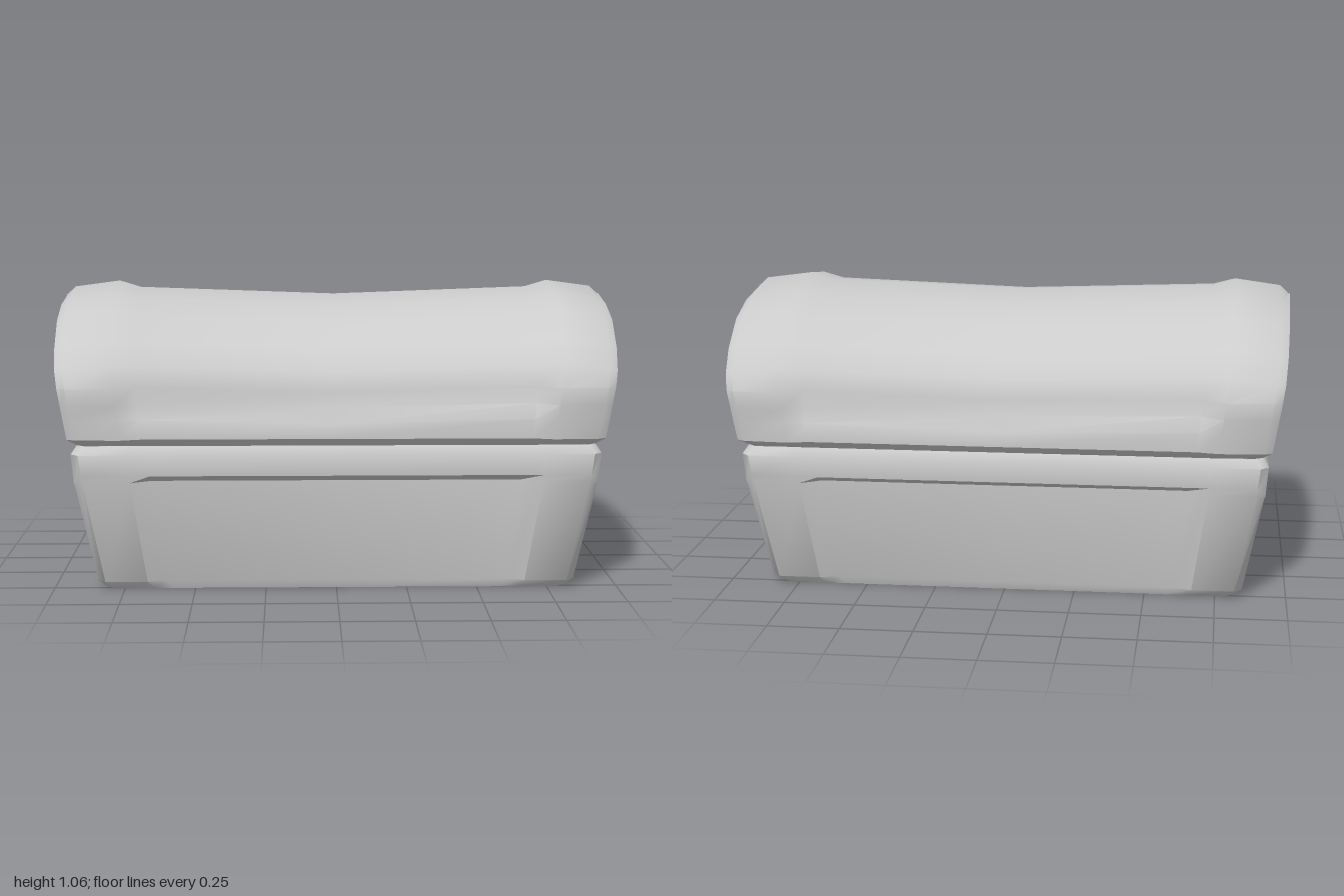
import * as THREE from 'three';
import { toCreasedNormals } from 'three/addons/utils/BufferGeometryUtils.js';

const material = new THREE.MeshStandardMaterial({ color: 0xcccccc, side: THREE.DoubleSide });

// Skins a grid of points (rows of equal length) with quads, skipping collapsed triangles.
function skin(rows, closed, crease) {
  const pos = [];
  const tri = (a, b, c) => {
    const n = b.clone().sub(a).cross(c.clone().sub(a));
    if (n.length() > 1e-7) for (const p of [a, b, c]) pos.push(p.x, p.y, p.z);
  };
  const n = rows[0].length;
  for (let i = 0; i < rows.length - 1; i++) {
    for (let j = 0; j < (closed ? n : n - 1); j++) {
      const k = (j + 1) % n;
      tri(rows[i][j], rows[i][k], rows[i + 1][k]);
      tri(rows[i][j], rows[i + 1][k], rows[i + 1][j]);
    }
  }
  const g = new THREE.BufferGeometry();
  g.setAttribute('position', new THREE.Float32BufferAttribute(pos, 3));
  return toCreasedNormals(g, crease);
}

// Tapered open-bottomed box with a rim and a recessed panel on each side.
function makeBase() {
  // front height, side height, half width, half depth, panel inset
  const levels = [
    [0, 0, 0.815, 0.51, 0],
    [0.03, 0.03, 0.845, 0.543, 0.02],
    [0.395, 0.38, 0.913, 0.606, 0.05],
    [0.42, 0.39, 0.917, 0.61, 0],
    [0.495, 0.495, 0.925, 0.62, 0],
    [0.525, 0.525, 0.905, 0.6, 0],
  ];
  const rows = levels.map(([yf, ys, hx, hz, inset]) => {
    // One quarter: middle of the front, round the corner, to the middle of the side
    const quarter = [
      [0, yf, hz - inset],
      [0.71 * hx, yf, hz - inset],
      [0.79 * hx, yf, hz],
      [hx - 0.028, yf, hz],
      [hx, ys, hz - 0.03],
      [hx, ys, 0.83 * hz],
      [hx - inset, ys, 0.74 * hz],
      [hx - inset, ys, 0],
    ];
    const half = [...quarter, ...quarter.slice(0, -1).reverse().map(([x, y, z]) => [x, y, -z])];
    const rest = half.slice(1, -1).reverse().map(([x, y, z]) => [-x, y, z]);
    return [...half, ...rest].map((p) => new THREE.Vector3(...p));
  });
  return new THREE.Mesh(skin(rows, true, 0.75), material);
}

// Barrel lid: raised bands at both ends, sagging middle with a ledge above the rim.
function makeLid() {
  // half profiles as [z, y], from the seam up to the ridge
  const band = [[0.6, 0.525], [0.64, 0.55], [0.647, 0.62], [0.651, 0.67], [0.655, 0.73],
    [0.62, 0.81], [0.54, 0.89], [0.4, 0.98], [0.23, 1.03], [0, 1.06]];
  const inner = [[0.6, 0.525], [0.635, 0.553], [0.637, 0.62], [0.605, 0.672], [0.608, 0.73],
    [0.582, 0.8], [0.51, 0.875], [0.38, 0.955], [0.22, 1.01], [0, 1.036]];
  const middle = inner.map(([z, y], i) => [i > 2 ? z * 0.985 : z, i > 1 ? y * 0.975 : y]);
  const rim = band.map(([z, y], i) => [z * 0.955, i > 4 ? y - 0.03 * (i - 4) / 5 - 0.02 : y]);
  const cap = rim.map(([, y]) => [0, y]);
  // outward lean of the ends at each profile point
  const lean = [0.91, 0.94, 0.952, 0.96, 0.97, 0.98, 0.988, 0.994, 0.998, 1];

  const side = [[0.72, inner], [0.8, band], [0.965, band.map(([z, y], i) => [z * 0.985, i > 4 ? y - 0.022 : y])],
    [0.995, rim], [1, cap]];
  const stations = [...side.map(([x, p]) => [-x, p]).reverse(), [0, middle], ...side];
  const row = (i, s) => stations.map(([x, p]) => new THREE.Vector3(x * lean[i], p[i][1], s * p[i][0]));
  const front = band.map((_, i) => row(i, 1));
  const back = band.slice(0, -1).map((_, i) => row(i, -1)).reverse();
  return new THREE.Mesh(skin([...front, ...back], false, 0.75), material);
}

export function createModel() {
  const model = new THREE.Group();
  model.name = 'chest';
  const base = makeBase();
  base.name = 'base';
  const lid = makeLid();
  lid.name = 'lid';
  model.add(base, lid);
  return model;
}
